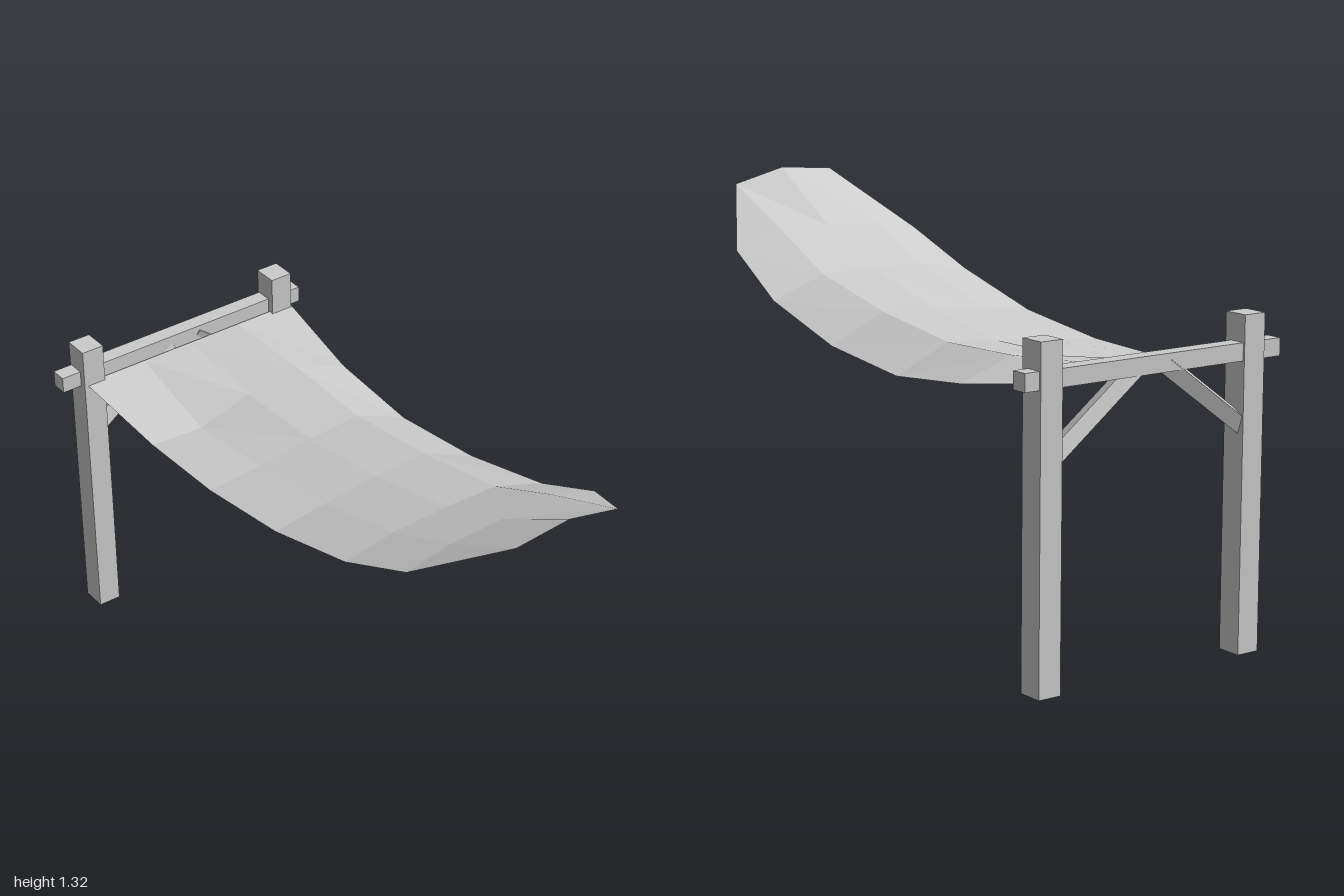
import * as THREE from 'three';

const grey = new THREE.MeshStandardMaterial({ color: 0xcccccc, side: THREE.DoubleSide, flatShading: true });
grey.name = 'pale grey';

function addBox(parent, name, size, position, openBottom = false) {
  const geometry = new THREE.BoxGeometry(...size);
  if (openBottom) {
    // drop the -y face
    const index = Array.from(geometry.index.array);
    index.splice(18, 6);
    geometry.setIndex(index);
    geometry.clearGroups();
  }
  const mesh = new THREE.Mesh(geometry, grey);
  mesh.name = name;
  mesh.position.set(...position);
  parent.add(mesh);
  return mesh;
}

// Sagging sheet: rows from the beam forward, five points across each row
function clothGeometry() {
  const rows = [
    { z: -0.93, x: [-0.40, -0.17, 0.02, 0.21, 0.43], y: [0.915, 0.915, 0.915, 0.915, 0.915] },
    { z: -0.58, x: [-0.37, -0.18, 0.01, 0.21, 0.40], y: [0.85, 0.84, 0.895, 0.92, 0.855] },
    { z: -0.25, x: [-0.37, -0.18, 0.02, 0.21, 0.40], y: [0.86, 0.875, 0.895, 0.91, 0.825] },
    { z: 0.10, x: [-0.365, -0.18, 0.02, 0.21, 0.405], y: [0.905, 0.93, 0.95, 0.955, 0.865] },
    { z: 0.45, x: [-0.36, -0.18, 0.02, 0.21, 0.40], y: [1.0, 1.03, 1.035, 1.03, 0.96] },
    { z: 0.71, x: [-0.335, -0.175, 0.02, 0.21, 0.38], y: [1.11, 1.14, 1.145, 1.15, 1.09] },
    // the outer points fold onto their neighbours to cut the corners off
    { z: 1.0, x: [-0.175, -0.175, 0.02, 0.205, 0.205], y: [1.30, 1.30, 1.315, 1.27, 1.27] },
  ];
  const points = rows.map(r => r.x.map((x, j) => new THREE.Vector3(x, r.y[j], r.z)));
  const positions = [];
  const triangle = (a, b, c) => {
    if (a.equals(b) || b.equals(c) || a.equals(c)) return;
    for (const p of [a, b, c]) positions.push(p.x, p.y, p.z);
  };
  for (let i = 0; i < rows.length - 1; i++) {
    for (let j = 0; j < 4; j++) {
      const a = points[i][j], b = points[i][j + 1];
      const c = points[i + 1][j + 1], d = points[i + 1][j];
      triangle(a, d, c);
      triangle(a, c, b);
    }
  }
  const geometry = new THREE.BufferGeometry();
  geometry.setAttribute('position', new THREE.Float32BufferAttribute(positions, 3));
  geometry.computeVertexNormals();
  return geometry;
}

export function createModel() {
  const group = new THREE.Group();
  group.name = 'canopy';

  // Posts
  addBox(group, 'rightPost', [0.078, 1.045, 0.085], [-0.373, 0.5225, -0.957], true);
  addBox(group, 'leftPost', [0.078, 1.045, 0.085], [0.385, 0.5225, -0.957], true);

  // Cross beam
  addBox(group, 'beam', [0.955, 0.055, 0.055], [-0.0025, 0.933, -0.966]);

  // Slanted braces, each rolled a little about its own length
  const braces = [
    { name: 'rightBrace', from: [-0.365, 0.70], to: [-0.05, 0.93], roll: -0.4 },
    { name: 'leftBrace', from: [0.05, 0.93], to: [0.375, 0.685], roll: 0.28 },
  ];
  for (const { name, from, to, roll } of braces) {
    const dx = to[0] - from[0], dy = to[1] - from[1];
    const brace = addBox(group, name, [Math.hypot(dx, dy), 0.049, 0.049],
      [(from[0] + to[0]) / 2, (from[1] + to[1]) / 2, -0.963]);
    brace.rotation.set(roll, 0, Math.atan2(dy, dx), 'ZYX');
  }

  // Cloth
  const cloth = new THREE.Mesh(clothGeometry(), grey);
  cloth.name = 'cloth';
  group.add(cloth);

  return group;
}
